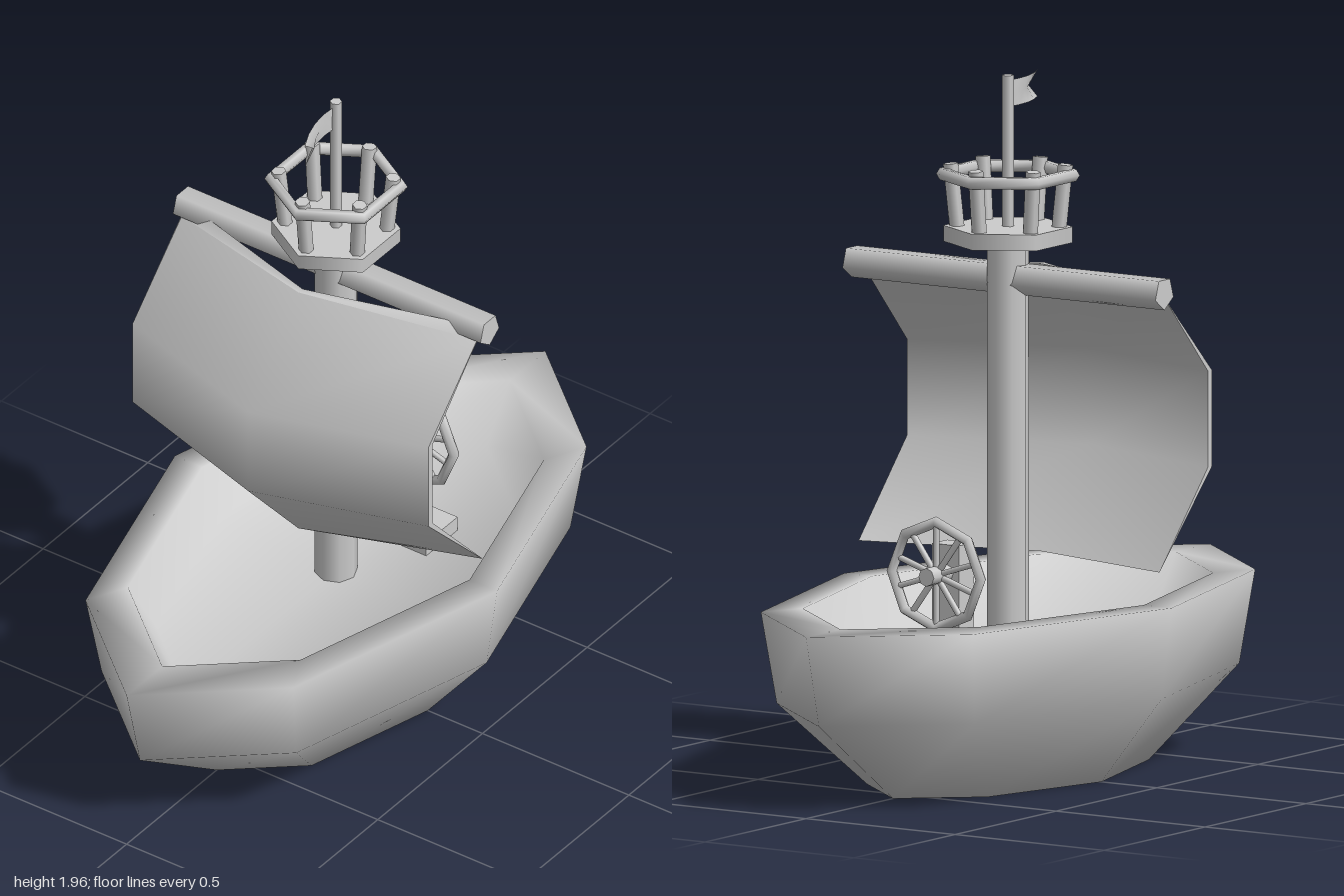
import * as THREE from 'three';

const grey = new THREE.MeshStandardMaterial({ color: 0xcccccc });
const greyDouble = new THREE.MeshStandardMaterial({ color: 0xcccccc, side: THREE.DoubleSide });

function add(parent, name, geometry, x = 0, y = 0, z = 0, material = grey) {
  const mesh = new THREE.Mesh(geometry, material);
  mesh.name = name;
  mesh.position.set(x, y, z);
  parent.add(mesh);
  return mesh;
}

// Round bar between two points
function bar(parent, name, from, to, r, sides = 6) {
  const a = new THREE.Vector3(...from), b = new THREE.Vector3(...to);
  const dir = b.clone().sub(a);
  const mesh = add(parent, name, new THREE.CylinderGeometry(r, r, dir.length(), sides));
  mesh.position.copy(a).add(b).multiplyScalar(0.5);
  mesh.quaternion.setFromUnitVectors(new THREE.Vector3(0, 1, 0), dir.normalize());
  return mesh;
}

// Surface through rows of points, smooth across the rows
function skin(rows, closed = false) {
  const n = rows[0].length, index = [];
  for (let j = 0; j < rows.length - 1; j++) {
    for (let i = 0; i < (closed ? n : n - 1); i++) {
      const k = (i + 1) % n;
      const a = j * n + i, b = j * n + k, c = a + n, d = b + n;
      index.push(a, b, d, a, d, c);
    }
  }
  const g = new THREE.BufferGeometry();
  g.setAttribute('position', new THREE.Float32BufferAttribute(rows.flat(2), 3));
  g.setIndex(index);
  g.computeVertexNormals();
  return g;
}

function buildHull(group) {
  const outline = [[0, 1], [0.355, 0.7], [0.55, 0], [0.355, -0.7],
    [0, -1], [-0.355, -0.7], [-0.55, 0], [-0.355, 0.7]];
  // scale of the outline and height: keel, sides, rim, inner wall, deck
  const levels = [[0.001, 0], [0.57, 0], [0.936, 0.25], [1, 0.51],
    [0.83, 0.51], [0.72, 0.35], [0.001, 0.35]];
  const rows = levels.map(([s, y]) => outline.map(([x, z]) => [x * s, y, z * s]));
  add(group, 'hull', skin(rows, true));
}

function buildSail(group) {
  const W = 0.505;
  const row = (zEdge, yEdge, zMid, yMid) => [[-W, yEdge, zEdge], [0, yMid, zMid], [W, yEdge, zEdge]];
  const front = [row(0.03, 0.63, 0.18, 0.6), row(0.265, 0.87, 0.42, 0.87),
    row(0.265, 1.14, 0.42, 1.14), row(0.03, 1.37, 0.18, 1.41)];
  const back = [row(0.005, 0.605, 0.16, 0.6), row(0.245, 0.87, 0.4, 0.87),
    row(0.245, 1.14, 0.4, 1.14), row(0.005, 1.4, 0.16, 1.41)];
  const sail = new THREE.Group();
  sail.name = 'sail';
  group.add(sail);
  add(sail, 'sailFront', skin(front));
  add(sail, 'sailBack', skin(back.map((r) => [...r].reverse())));
  // Narrow edge strips joining the two faces
  const side = (grid, i) => grid.map((r) => r[i]);
  for (const pick of [(g) => g[0], (g) => g[3], (g) => side(g, 0), (g) => side(g, 2)]) {
    add(sail, 'sailEdge', skin([pick(front), pick(back)]), 0, 0, 0, greyDouble);
  }
}

function buildCrowsNest(group) {
  const nest = new THREE.Group();
  nest.name = 'crowsNest';
  group.add(nest);
  add(nest, 'nestFloor', new THREE.CylinderGeometry(0.18, 0.18, 0.045, 6), 0, 1.513, 0);
  const ring = add(nest, 'nestRail', new THREE.TorusGeometry(0.181, 0.019, 6, 6), 0, 1.68, 0);
  ring.rotation.set(Math.PI / 2, 0, Math.PI / 2);
  for (let i = 0; i < 6; i++) {
    const s = Math.sin(i * Math.PI / 3), c = Math.cos(i * Math.PI / 3);
    bar(nest, 'nestPost', [s * 0.142, 1.53, c * 0.142], [s * 0.16, 1.71, c * 0.16], 0.021);
  }
}

function buildFlag(group) {
  const cols = 5;
  const rows = [1.87, 1.908, 1.945].map((y, j) => {
    const length = j === 1 ? 0.16 : 0.205; // swallowtail notch
    return Array.from({ length: cols }, (_, i) => {
      const t = i / (cols - 1);
      return [0.04 * t * t - 0.008 * Math.sin(t * Math.PI), y, length * t];
    });
  });
  add(group, 'flag', skin(rows), 0, 0, 0, greyDouble);
}

function buildHelm(group) {
  const helm = new THREE.Group();
  helm.name = 'helm';
  group.add(helm);
  add(helm, 'helmBase', new THREE.BoxGeometry(0.33, 0.05, 0.15), 0, 0.37, -0.275);
  add(helm, 'helmStand', new THREE.BoxGeometry(0.09, 0.31, 0.075), 0, 0.525, -0.272);
  bar(helm, 'helmAxle', [0, 0.6, -0.19], [0, 0.6, -0.405], 0.026, 8);
  add(helm, 'wheelRim', new THREE.TorusGeometry(0.149, 0.016, 6, 8), 0, 0.6, -0.355);
  for (let i = 0; i < 5; i++) {
    const x = 0.14 * Math.sin(i * Math.PI / 5), y = 0.14 * Math.cos(i * Math.PI / 5);
    bar(helm, 'wheelSpoke', [-x, 0.6 - y, -0.355], [x, 0.6 + y, -0.355], 0.009);
  }
}

export function createModel() {
  const ship = new THREE.Group();
  ship.name = 'sailingShip';
  buildHull(ship);
  add(ship, 'mast', new THREE.CylinderGeometry(0.06, 0.06, 1.15, 8), 0, 0.925, 0);
  add(ship, 'flagPole', new THREE.CylinderGeometry(0.017, 0.017, 0.46, 6), 0, 1.73, 0);

  // Five-sided yard with a point at the bottom
  const yard = new THREE.CylinderGeometry(0.047, 0.047, 1.05, 5);
  yard.rotateY(-Math.PI / 2).rotateZ(Math.PI / 2);
  add(ship, 'yard', yard, 0, 1.392, 0);

  buildSail(ship);
  buildCrowsNest(ship);
  buildFlag(ship);
  buildHelm(ship);
  return ship;
}
